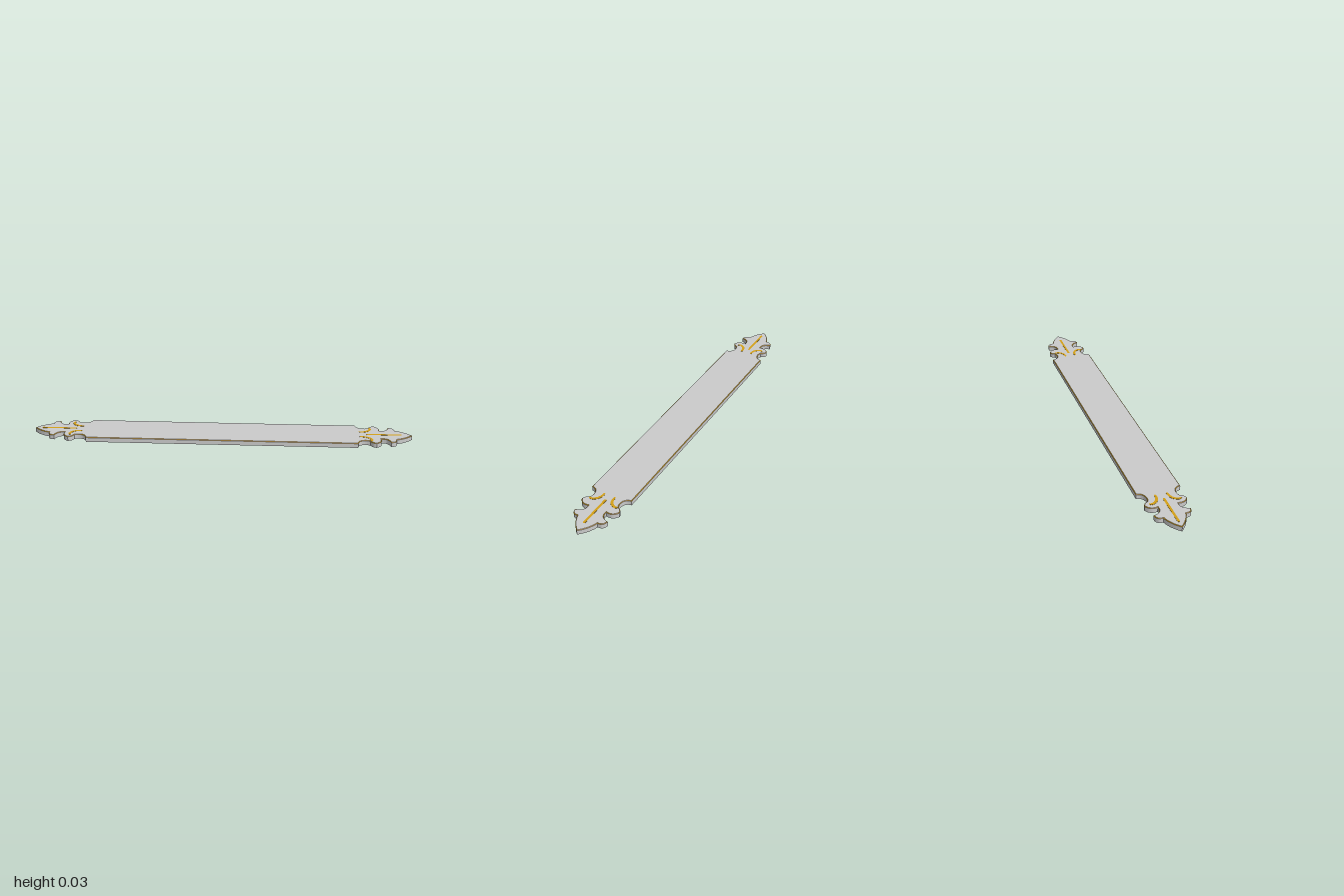
import * as THREE from 'three';
import { toCreasedNormals } from 'three/addons/utils/BufferGeometryUtils.js';

const WALL = 0.0235, TOP = 0.0262, BEVEL = 0.003;

// One quarter of the outline, from the straight edge out to the pointed tip
function quarterOutline() {
  const s = new THREE.Path();
  s.moveTo(0.71, 0.111);
  s.quadraticCurveTo(0.713, 0.085, 0.735, 0.077);
  s.quadraticCurveTo(0.757, 0.07, 0.776, 0.08);
  s.quadraticCurveTo(0.784, 0.102, 0.806, 0.105);
  s.quadraticCurveTo(0.842, 0.088, 0.832, 0.05);
  s.quadraticCurveTo(0.872, 0.044, 0.882, 0.09);
  s.quadraticCurveTo(0.918, 0.088, 0.914, 0.055);
  s.quadraticCurveTo(0.962, 0.042, 1, 0);
  return s.getPoints(8);
}

// Mirror the quarter into a closed counter-clockwise loop
function fullOutline() {
  const q = quarterOutline();
  const flip = (list, sx, sy) => list.map((p) => new THREE.Vector2(p.x * sx, p.y * sy));
  const back = [...q].reverse();
  return [
    ...flip(back, 1, 1),
    ...flip(q, -1, 1),
    ...flip(back.slice(1), -1, -1),
    ...flip(q.slice(0, -1), 1, -1),
  ];
}

// Move every point of the loop inward along its corner bisector
function inset(loop, d) {
  const n = loop.length;
  const normal = (a, b) => new THREE.Vector2(a.y - b.y, b.x - a.x).normalize();
  return loop.map((p, i) => {
    const n1 = normal(loop[(i + n - 1) % n], p);
    const n2 = normal(p, loop[(i + 1) % n]);
    const k = d / Math.max(0.5, 1 + n1.dot(n2));
    return p.clone().addScaledVector(n1.add(n2), k);
  });
}

// Sloping band joining the outline to the inset top edge
function bandGeometry(outer, inner) {
  const n = outer.length, pos = [], idx = [];
  outer.forEach((p) => pos.push(p.x, WALL, -p.y));
  inner.forEach((p) => pos.push(p.x, TOP, -p.y));
  for (let i = 0; i < n; i++) {
    const j = (i + 1) % n;
    idx.push(i, j, n + j, i, n + j, n + i);
  }
  const g = new THREE.BufferGeometry();
  g.setAttribute('position', new THREE.Float32BufferAttribute(pos, 3));
  g.setIndex(idx);
  return toCreasedNormals(g, 0.6);
}

const slab = (shape, depth, y) => new THREE.ExtrudeGeometry(shape, { depth, bevelEnabled: false, curveSegments: 10 })
  .rotateX(-Math.PI / 2).translate(0, y, 0);

// Slim bar with rounded ends
function barShape(x0, x1, r) {
  const s = new THREE.Shape();
  s.absarc(x1 - r, 0, r, -Math.PI / 2, Math.PI / 2);
  s.absarc(x0 + r, 0, r, Math.PI / 2, Math.PI * 1.5);
  return s;
}

// Curved leaf stroke, sx and sy mirror it
function crescentShape(sx, sy, dx) {
  const P = (x, y) => [sx * x + dx, sy * y];
  const s = new THREE.Shape();
  s.moveTo(...P(0.793, 0.08));
  s.quadraticCurveTo(...P(0.806, 0.07), ...P(0.795, 0.05));
  s.quadraticCurveTo(...P(0.778, 0.021), ...P(0.738, 0.024));
  s.quadraticCurveTo(...P(0.726, 0.029), ...P(0.738, 0.035));
  s.quadraticCurveTo(...P(0.768, 0.034), ...P(0.783, 0.056));
  s.quadraticCurveTo(...P(0.791, 0.068), ...P(0.785, 0.076));
  s.quadraticCurveTo(...P(0.788, 0.081), ...P(0.793, 0.08));
  return s;
}

export function createModel() {
  const group = new THREE.Group();
  const grey = new THREE.MeshStandardMaterial({ color: 0xcccccc });
  const gold = new THREE.MeshStandardMaterial({ color: 0xd4a017 });
  const add = (name, geometry, material) => {
    const mesh = new THREE.Mesh(geometry, material);
    mesh.name = name;
    group.add(mesh);
  };

  // Plate, its gold edge and its top face
  const outer = fullOutline();
  const inner = inset(outer, BEVEL);
  add('plate', toCreasedNormals(slab(new THREE.Shape(outer), WALL, 0), 0.6), grey);
  add('edgeTrim', bandGeometry(outer, inner), gold);
  add('topFace', new THREE.ShapeGeometry(new THREE.Shape(inner)).rotateX(-Math.PI / 2).translate(0, TOP, 0), grey);

  // Gold inlays at both ends
  for (const sx of [-1, 1]) {
    const dx = -0.009;
    const ends = [sx * 0.768 + dx, sx * 0.954 + dx].sort((a, b) => a - b);
    add('centreInlay', slab(barShape(ends[0], ends[1], 0.006), 0.0008, TOP), gold);
    for (const sy of [-1, 1]) {
      add('curvedInlay', slab(crescentShape(sx, sy, dx), 0.0008, TOP), gold);
    }
  }
  return group;
}
